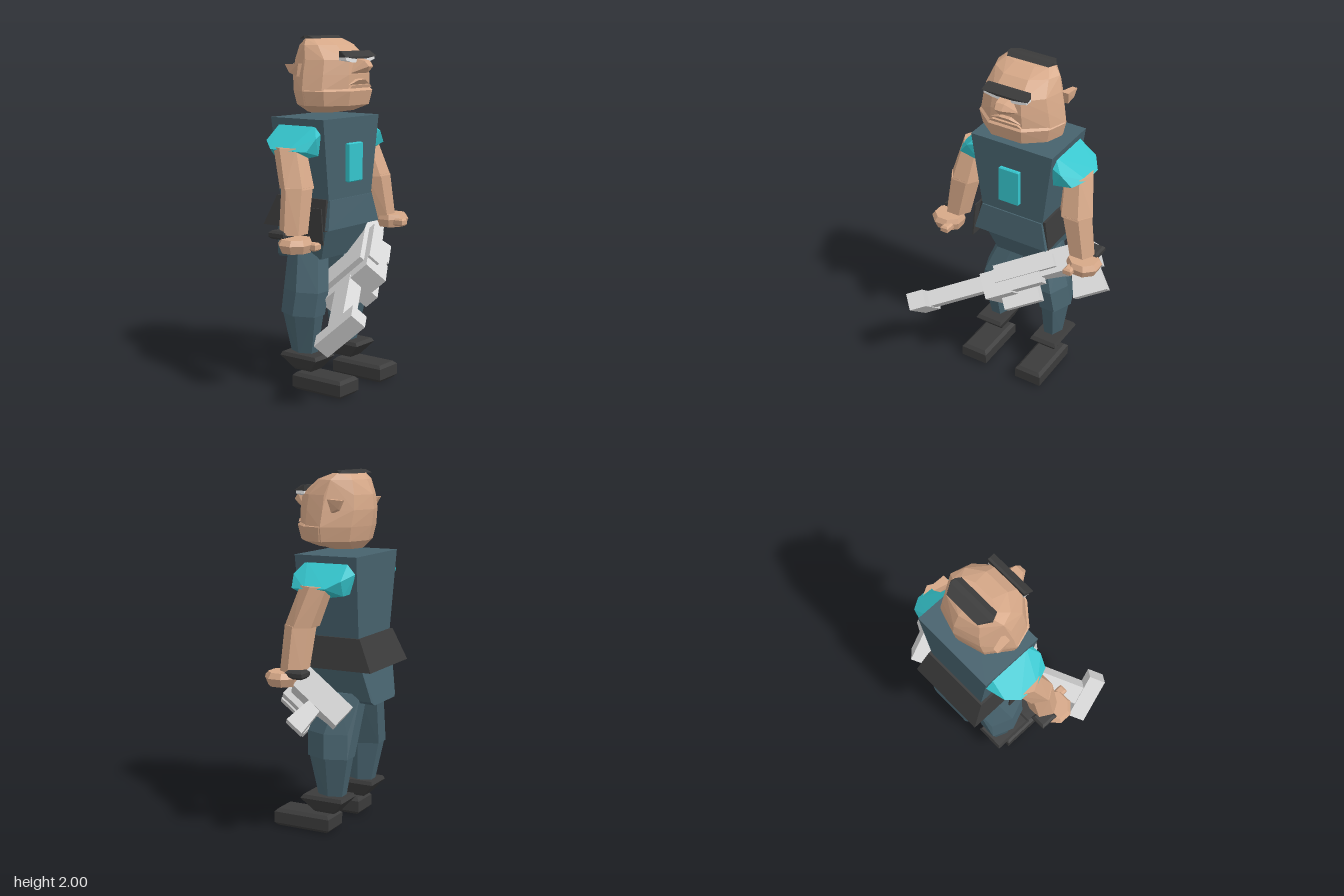
import * as THREE from 'three';
import { ConvexGeometry } from 'three/addons/geometries/ConvexGeometry.js';

const mat = (name, color) => {
  const m = new THREE.MeshStandardMaterial({ color });
  m.name = name;
  return m;
};

export function createModel() {
  const model = new THREE.Group();
  model.name = 'armedGuard';
  const skin = mat('skin', 0xd6a888);
  const cloth = mat('slate cloth', 0x47626d);
  const teal = mat('turquoise', 0x35c5cd);
  const black = mat('black', 0x3b3b3b);
  const metal = mat('light metal', 0xd8d8d8);
  const white = mat('eye white', 0xf0f0f0);

  // faceted solid around a set of points
  const solid = (name, material, points, parent = model) => {
    const mesh = new THREE.Mesh(new ConvexGeometry(points.map((p) => new THREE.Vector3(...p))), material);
    mesh.name = name;
    parent.add(mesh);
    return mesh;
  };
  // horizontal rectangle at height y
  const rect = (y, x0, x1, z0, z1) => [[x0, y, z0], [x1, y, z0], [x1, y, z1], [x0, y, z1]];
  // horizontal polygon at height y, extents rx and rz
  const ring = (cx, y, cz, rx, rz, n = 8) => {
    const k = 1 / Math.cos(Math.PI / n);
    return Array.from({ length: n }, (_, i) => {
      const a = ((i + 0.5) / n) * Math.PI * 2;
      return [cx + Math.sin(a) * rx * k, y, cz + Math.cos(a) * rz * k];
    });
  };
  // box with chamfered horizontal edges
  const bevelBox = (x0, x1, y0, y1, z0, z1, b) => [
    ...rect(y0, x0 + b, x1 - b, z0 + b, z1 - b), ...rect(y0 + b, x0, x1, z0, z1),
    ...rect(y1 - b, x0, x1, z0, z1), ...rect(y1, x0 + b, x1 - b, z0 + b, z1 - b),
  ];

  // head: outlines from [y, half width, front z, back z]
  const outline = ([y, w, f, b]) => [
    [0, y, b], ...[1, -1].flatMap((s) => [
      [s * w * 0.62, y, b + (f - b) * 0.12], [s * w, y, b + (f - b) * 0.48],
      [s * w * 0.86, y, b + (f - b) * 0.76], [s * w * 0.4, y, f],
    ]),
  ];
  const head = new THREE.Group();
  head.name = 'head';
  model.add(head);
  solid('skull', skin, [
    [1.575, 0.12, -0.08, -0.26], [1.62, 0.235, 0.05, -0.3], [1.7, 0.253, 0.068, -0.32], [1.79, 0.235, 0.07, -0.333],
    [1.87, 0.215, 0.062, -0.325], [1.95, 0.19, -0.03, -0.29], [1.985, 0.15, -0.12, -0.25],
  ].flatMap(outline), head);
  solid('jaw', skin, [
    [1.585, 0.12, -0.01, -0.2], [1.62, 0.236, 0.066, -0.29], [1.7, 0.254, 0.085, -0.315], [1.715, 0.235, 0.07, -0.3],
  ].flatMap(outline), head);
  solid('nose', skin, [[-0.03, 1.88, 0.05], [0.03, 1.88, 0.05], [-0.08, 1.795, 0.06], [0.08, 1.795, 0.06],
    [-0.025, 1.865, 0.125], [0.025, 1.865, 0.125], [-0.02, 1.835, 0.15], [0.02, 1.835, 0.15], [0, 1.8, 0.13]], head);
  solid('upperLip', skin, [[-0.11, 1.735, 0.055], [0.11, 1.735, 0.055], [-0.035, 1.768, 0.06], [0.035, 1.768, 0.06],
    [-0.03, 1.76, 0.09], [0.03, 1.76, 0.09], [-0.09, 1.735, 0.072], [0.09, 1.735, 0.072]], head);
  solid('lowerLip', skin, [...rect(1.715, -0.1, 0.1, 0.04, 0.08), ...rect(1.732, -0.08, 0.08, 0.04, 0.085)], head);
  solid('brow', black, [[-0.13, 1.918, 0.03], [0.13, 1.918, 0.03], [-0.13, 1.918, 0.045], [0.13, 1.918, 0.045],
    [-0.142, 1.888, 0.084], [0.142, 1.888, 0.084], [-0.05, 1.876, 0.084], [0.05, 1.876, 0.084],
    [-0.13, 1.885, 0.03], [0.13, 1.885, 0.03]], head);
  const hair = (y) => [[-0.11, y, -0.265], [0.11, y, -0.265], [0.15, y, -0.2], [0.125, y, -0.145], [-0.125, y, -0.145], [-0.15, y, -0.2]];
  solid('hair', black, [...hair(1.983), ...rect(2, -0.14, 0.14, -0.21, -0.18)], head);

  // jacket
  solid('torso', cloth, [...rect(1.55, -0.257, 0.257, -0.355, 0.018), ...rect(1.0, -0.185, 0.185, -0.34, 0.005)]);
  solid('belt', black, [...rect(1.105, -0.212, 0.212, -0.355, 0.0), ...rect(1.05, -0.215, 0.215, -0.37, 0.002),
    ...rect(0.93, -0.24, 0.24, -0.435, 0.01)]);
  solid('jacketHem', cloth, [...rect(1.1, -0.195, 0.195, -0.05, 0.015), ...rect(0.937, -0.235, 0.235, -0.01, 0.035)]);
  solid('pelvis', cloth, [...rect(0.94, -0.2, 0.2, -0.36, -0.01), ...rect(0.75, -0.155, 0.155, -0.4, -0.08),
    [-0.13, 0.73, -0.41], [0.13, 0.73, -0.41]]);
  solid('chestBadge', teal, bevelBox(-0.063, 0.063, 1.19, 1.41, 0.022, 0.048, 0.006));
  solid('hipFlap', black, [...rect(1.06, -0.258, -0.25, -0.17, 0.0), ...rect(0.86, -0.266, -0.258, -0.19, 0.02)]);

  // paired parts, s is the side
  for (const s of [1, -1]) {
    const part = (name, material, points) =>
      solid((s > 0 ? 'left' : 'right') + name, material, points.map(([x, y, z]) => [x * s, y, z]));

    part('Eye', white, [[0.025, 1.855, 0.05], [0.13, 1.868, 0.03], [0.13, 1.89, 0.03], [0.025, 1.855, 0.077],
      [0.08, 1.858, 0.077], [0.132, 1.87, 0.077], [0.132, 1.89, 0.077], [0.025, 1.885, 0.077]]);
    part('Ear', skin, [[0.19, 1.85, -0.17], [0.24, 1.85, -0.17], [0.215, 1.845, -0.26], [0.245, 1.845, -0.26],
      [0.2, 1.775, -0.19], [0.23, 1.78, -0.19], [0.24, 1.8, -0.235], [0.205, 1.79, -0.23]]);

    // sleeve and arm
    part('Sleeve', teal, [[0.24, 1.52, -0.05], [0.24, 1.52, -0.3], [0.24, 1.46, -0.345], [0.24, 1.35, -0.31],
      [0.24, 1.32, -0.17], [0.24, 1.35, -0.03], [0.24, 1.47, -0.01], [0.3, 1.45, 0.0], [0.36, 1.38, -0.02], [0.35, 1.43, -0.31],
      [0.4, 1.39, -0.24], [0.4, 1.385, -0.12], [0.3, 1.345, -0.3], [0.29, 1.34, -0.06]]);
    part('UpperArm', skin, [...ring(0.33, 1.4, -0.16, 0.075, 0.08, 6), ...ring(0.36, 1.18, -0.085, 0.088, 0.08, 6)]);
    part('Forearm', skin, [...ring(0.365, 1.19, -0.08, 0.083, 0.072, 6), ...ring(0.413, 0.94, -0.068, 0.07, 0.068, 6)]);
    const dy = s > 0 ? 0 : -0.02;
    part('Hand', skin, [...ring(0.45, 0.945 + dy, -0.02, 0.08, 0.075), ...ring(0.455, 0.915 + dy, -0.02, 0.094, 0.09),
      ...ring(0.45, 0.87 + dy, -0.02, 0.08, 0.075)]);
    part('Thumb', skin, bevelBox(0.385, 0.435, 0.88 + dy, 0.925 + dy, 0.02, 0.1, 0.01));
    part('WristBand', black, bevelBox(0.42, 0.51, 0.915, 0.96, -0.165, -0.06, 0.012));

    // leg and boot
    part('Thigh', cloth, [...ring(0.1, 0.79, -0.22, 0.08, 0.11, 6), ...ring(0.18, 0.57, -0.17, 0.082, 0.122, 6),
      ...ring(0.2, 0.435, -0.18, 0.082, 0.122, 6)]);
    part('Shin', cloth, [...ring(0.2, 0.45, -0.18, 0.068, 0.12, 6), ...ring(0.185, 0.19, -0.18, 0.048, 0.07, 6)]);
    part('BootCuff', black, [...rect(0.21, 0.115, 0.27, -0.275, -0.04), ...rect(0.19, 0.105, 0.28, -0.285, -0.025),
      ...rect(0.125, 0.13, 0.245, -0.225, -0.085), ...rect(0.11, 0.14, 0.235, -0.215, -0.095)]);
    part('Shoe', black, bevelBox(0.105, 0.275, 0, 0.1, -0.2, 0.145, 0.018));
  }

  // weapon: local x runs from muzzle to stock
  const gun = new THREE.Group();
  gun.name = 'heavyGun';
  const d = new THREE.Vector3(0.806, 0.339, -0.484).normalize();
  const side = d.clone().cross(new THREE.Vector3(0.166, 0.66, 0.73)).normalize();
  const up = side.clone().cross(d);
  gun.quaternion.setFromRotationMatrix(new THREE.Matrix4().makeBasis(d, up, side));
  gun.position.set(-0.45, 0.455, 0.28);
  model.add(gun);
  const block = (name, x0, x1, y0, y1, z0, z1) => {
    const m = new THREE.Mesh(new THREE.BoxGeometry(x1 - x0, y1 - y0, z1 - z0), metal);
    m.name = name;
    m.position.set((x0 + x1) / 2, (y0 + y1) / 2, (z0 + z1) / 2);
    gun.add(m);
  };
  block('muzzle', -0.05, 0.05, -0.145, 0.145, -0.05, 0.05);
  block('barrel', 0.04, 0.45, -0.06, 0.06, -0.045, 0.045);
  block('receiverFront', 0.42, 0.58, -0.185, 0.19, -0.04, 0.11);
  block('receiverRail', 0.57, 0.76, 0.06, 0.19, -0.03, 0.1);
  block('receiver', 0.5, 1.08, -0.155, 0.16, -0.07, 0.065);
  block('sidePlate', 0.5, 0.86, 0.15, 0.205, -0.04, 0.035);
  block('magazine', 0.48, 0.7, -0.05, 0.045, 0.05, 0.18);
  // flared grip block under the rear
  const ends = [[0.92, 1.07, 0.04, 0.05], [0.89, 1.09, 0.055, 0.22]];
  solid('stock', metal, ends.flatMap(([a, b, h, z]) => [[a, -h, z], [b, -h, z], [a, h, z], [b, h, z]]), gun);

  return model;
}
